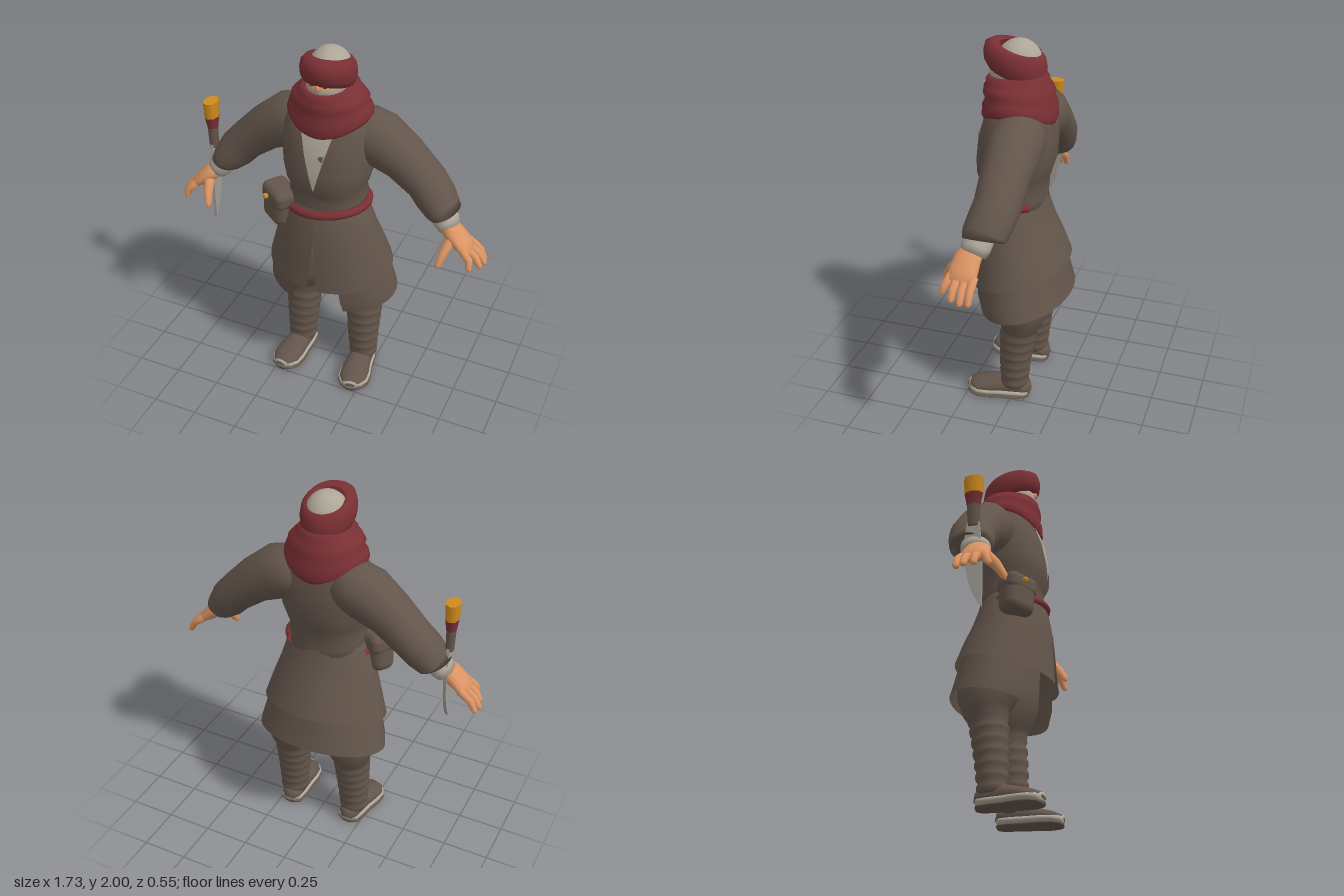
import * as THREE from 'three';
import { RoundedBoxGeometry } from 'three/addons/geometries/RoundedBoxGeometry.js';

const mat = (name, color, side = THREE.FrontSide) =>
  Object.assign(new THREE.MeshStandardMaterial({ color, side }), { name });

// Skins a list of equal-length rings, ordered along their axis.
function loft(rings, { closed = true, caps = false } = {}) {
  const n = rings[0].length, pos = [], idx = [];
  rings.forEach(r => r.forEach(p => pos.push(p.x, p.y, p.z)));
  const cols = closed ? n : n - 1;
  for (let i = 0; i < rings.length - 1; i++)
    for (let j = 0; j < cols; j++) {
      const a = i * n + j, b = i * n + (j + 1) % n;
      idx.push(a, b, b + n, a, b + n, a + n);
    }
  if (caps) [0, rings.length - 1].forEach((r, end) => {
    const c = new THREE.Vector3();
    rings[r].forEach(p => c.addScaledVector(p, 1 / n));
    const k = pos.length / 3;
    pos.push(c.x, c.y, c.z);
    for (let j = 0; j < n; j++) {
      const a = r * n + j, b = r * n + (j + 1) % n;
      end ? idx.push(k, a, b) : idx.push(k, b, a);
    }
  });
  const g = new THREE.BufferGeometry();
  g.setAttribute('position', new THREE.Float32BufferAttribute(pos, 3));
  g.setIndex(idx);
  g.computeVertexNormals();
  return g;
}

const pw = (v, e) => Math.sign(v) * Math.abs(v) ** (2 / e);

// Horizontal ring: height, half width, front z, back z, tilt along z, front gap angle, droop.
function ring([y, rx, zf, zb, tilt = 0, gap = 0, droop = 0], n, e, closed) {
  return Array.from({ length: n }, (_, i) => {
    const a = gap + (2 * Math.PI - 2 * gap) * i / (closed ? n : n - 1);
    const z = (zf + zb) / 2 + (zf - zb) / 2 * pw(Math.cos(a), e);
    return new THREE.Vector3(rx * pw(Math.sin(a), e), y + tilt * z - droop * Math.cos(a) ** 2, z);
  });
}
const garment = (rows, { e = 2, closed = true, n = 40, caps = false } = {}) =>
  loft(rows.map(r => ring(r, n, e, closed)), { closed, caps });

// Tube along points [x, y, z, radius along ref, other radius]; s mirrors x.
function limb(pts, s = 1, ref = new THREE.Vector3(0, 0, 1), n = 18) {
  const c = pts.map(p => new THREE.Vector3(p[0] * s, p[1], p[2]));
  return loft(pts.map((p, i) => {
    const d = c[Math.min(i + 1, c.length - 1)].clone().sub(c[Math.max(i - 1, 0)]).normalize();
    const u = ref.clone().addScaledVector(d, -ref.dot(d)).normalize();
    const v = d.clone().cross(u);
    return Array.from({ length: n }, (_, j) => {
      const a = 2 * Math.PI * j / n;
      return c[i].clone().addScaledVector(u, p[3] * Math.cos(a)).addScaledVector(v, p[4] * Math.sin(a));
    });
  }), { caps: true });
}

const TORSO = [
  [1.10, .2, .2, -.13], [1.17, .195, .205, -.125], [1.21, .207, .203, -.128], [1.25, .197, .207, -.13],
  [1.3, .215, .235, -.145], [1.38, .235, .235, -.17], [1.5, .24, .22, -.175], [1.6, .235, .19, -.165],
  [1.68, .2, .15, -.14], [1.73, .12, .11, -.11]];
const TE = 2.3;

// Front surface of the jacket at x, y.
function chestZ(x, y) {
  const i = TORSO.findIndex(r => r[0] >= y), a = TORSO[i - 1], b = TORSO[i];
  const t = (y - a[0]) / (b[0] - a[0]);
  const [, rx, zf, zb] = a.map((v, k) => v + (b[k] - v) * t);
  return (zf + zb) / 2 + (zf - zb) / 2 * (1 - Math.abs(x / rx) ** TE) ** (1 / TE);
}
// Thin cloth patch lying on the chest; rows are [y, x left, x right].
const chestPatch = (rows, lift) => loft(rows.map(([y, x0, x1]) =>
  Array.from({ length: 9 }, (_, j) => {
    const x = x0 + (x1 - x0) * j / 8;
    return new THREE.Vector3(x, y, chestZ(x, y) + lift);
  })), { closed: false });

export function createModel() {
  const brown = mat('brown cloth', 0x63554b, THREE.DoubleSide);
  const red = mat('red cloth', 0x7a3034, THREE.DoubleSide);
  const pale = mat('pale linen', 0xada698, THREE.DoubleSide);
  const skin = mat('skin', 0xdb9463);
  const gold = mat('gold', 0xcf8a1c);
  const steel = mat('steel', 0x9f9c95);
  const dark = mat('dark eyes', 0x3b332e);

  const model = new THREE.Group();
  model.name = 'wanderer';
  const add = (name, geo, material, x = 0, y = 0, z = 0) => {
    const m = new THREE.Mesh(geo, material);
    m.name = name;
    m.position.set(x, y, z);
    model.add(m);
    return m;
  };

  // Jacket, shirt opening and skirts
  add('jacket', garment(TORSO, { e: TE, caps: true }), brown);
  const vRows = [];
  for (let i = 0; i <= 8; i++) vRows.push([1.3 + i * .04, -.002 - i * .0107, .002 + i * .0107]);
  add('shirt', chestPatch(vRows, .005), pale);
  add('shirtStain', chestPatch([[1.475, .04, .046], [1.49, .022, .048], [1.505, .03, .052]], .008), brown);
  add('upperSkirt', garment([
    [.745, .345, .275, -.255, -.23, .09], [.88, .305, .265, -.215, -.15, .045],
    [1.0, .265, .255, -.17, -.08, 0], [1.1, .235, .235, -.14], [1.165, .2, .21, -.125]],
    { closed: false, n: 49 }), brown);
  add('lowerSkirt', garment([
    [.56, .365, .215, -.275, -.19, .42], [.64, .35, .235, -.255, -.2, .41], [.8, .31, .24, -.22, -.2, .4]],
    { closed: false, n: 45 }), brown);

  // Belt, wrapped around the front and sides
  const beltPts = [];
  for (let a = -1.7; a <= 2.4; a += .2)
    beltPts.push(new THREE.Vector3(.213 * Math.sin(a), 1.14 + .027 * Math.sin(a), .043 + .178 * Math.cos(a)));
  add('belt', new THREE.TubeGeometry(new THREE.CatmullRomCurve3(beltPts), 50, .023, 8), red);

  // Pouch with flap and button
  const pouch = add('pouch', new RoundedBoxGeometry(.18, .21, .13, 4, .05), brown, -.245, 1.095, .13);
  pouch.rotation.set(0, -.6, -.08);
  const flap = add('pouchFlap', new RoundedBoxGeometry(.19, .11, .145, 4, .04), brown, -.237, 1.155, .13);
  flap.rotation.copy(pouch.rotation);
  add('pouchButton', new THREE.SphereGeometry(.016, 12, 8), gold, -.295, 1.16, .19);

  // Head, face and wraps
  add('skull', new THREE.SphereGeometry(1, 28, 20), pale, 0, 1.865, .02).scale.set(.115, .135, .122);
  add('faceCloth', new THREE.SphereGeometry(1, 28, 20), pale, 0, 1.83, .06).scale.set(.1, .09, .115);
  add('eyeStrip', new THREE.SphereGeometry(1.03, 16, 6, Math.PI / 2 - .7, 1.4, 1.08, .36),
    skin, 0, 1.83, .06).scale.set(.1, .09, .115);
  add('nose', new THREE.SphereGeometry(1, 10, 8), skin, 0, 1.85, .174).scale.set(.011, .022, .014);
  for (const s of [-1, 1])
    add('eye', new THREE.SphereGeometry(1, 10, 8), dark, s * .032, 1.856, .163).scale.set(.014, .007, .008);
  add('headWrap', garment([
    [1.8, .1, .15, -.09, .27], [1.815, .122, .18, -.108, .27], [1.845, .134, .2, -.118, .27],
    [1.885, .137, .203, -.12, .27], [1.925, .13, .193, -.113, .27], [1.95, .11, .16, -.095, .27],
    [1.945, .085, .12, -.075, .27]]), red);
  add('scarf', garment([
    [1.67, .18, .16, -.13, 0, 0, .06], [1.65, .212, .195, -.165, 0, 0, .075],
    [1.675, .222, .21, -.177, 0, 0, .07], [1.71, .21, .208, -.175, 0, 0, .05],
    [1.73, .187, .193, -.16, 0, 0, .035], [1.75, .197, .203, -.163, 0, 0, .025],
    [1.775, .175, .2, -.152, 0, 0, .015], [1.785, .155, .188, -.135, -.05],
    [1.805, .15, .192, -.13, -.07], [1.83, .122, .175, -.115, -.09], [1.815, .095, .14, -.09, -.09]]), red);

  const up = new THREE.Vector3(0, 1, 0);
  for (const s of [-1, 1]) {
    const side = s > 0 ? 'left' : 'right';

    // Sleeve and cuff
    add(side + 'Sleeve', limb([
      [.08, 1.57, -.03, .12, .11], [.17, 1.55, -.03, .14, .135], [.25, 1.52, -.03, .142, .146],
      [.38, 1.44, -.032, .124, .122], [.5, 1.335, -.032, .118, .106], [.56, 1.27, -.015, .116, .104],
      [.605, 1.22, 0, .112, .088], [.62, 1.2, 0, .105, .08], [.61, 1.21, 0, .085, .06]], s, undefined, 24), brown);
    add(side + 'Cuff', limb([
      [.58, 1.25, .015, .078, .068], [.64, 1.17, .03, .074, .066], [.662, 1.142, .038, .066, .056]], s), pale);

    // Hand with four fingers and a thumb
    add(side + 'Palm', limb([
      [.645, 1.16, .04, .055, .045], [.69, 1.128, .055, .068, .047], [.745, 1.08, .06, .075, .036],
      [.78, 1.05, .062, .068, .025]], s), skin);
    [[0, .85, .966, 0], [.04, .86, .968, .038], [.08, .848, .975, .085], [.115, .81, .985, .145]]
      .forEach(([z, tx, ty, tz]) => add(side + 'Finger', limb([
        [.755, 1.07, z, .022, .022], [(.765 + tx) / 2 + .01, (1.06 + ty) / 2 + .012, (z + tz) / 2, .021, .02],
        [tx - .008, ty + .012, tz, .017, .016], [tx, ty, tz, .009, .009]], s, undefined, 10), skin));
    add(side + 'Thumb', limb([
      [.69, 1.12, .08, .035, .03], [.668, 1.055, .145, .026, .024], [.655, 1.0, .178, .019, .019],
      [.652, .982, .184, .01, .01]], s, undefined, 10), skin);

    // Trouser leg with ridged wraps below the knee
    const leg = [];
    for (let i = 0; i <= 20; i++) {
      const t = i / 20, bump = i % 3 === 0 ? -.007 : .003;
      leg.push([.192 - .01 * t, .07 + t * .4, -.01 - .028 * t * t,
        .073 + .028 * t + bump, .074 + .03 * t + bump]);
    }
    leg.push([.182, .5, -.045, .12, .12], [.178, .56, -.05, .145, .148], [.165, .65, -.035, .168, .155],
      [.14, .8, -.02, .17, .135], [.11, .95, .01, .14, .1]);
    add(side + 'Leg', limb(leg, s, undefined, 24), brown);

    // Shoe with a pale rim and a dark tread
    const foot = [[.185, -.09, .35, .4], [.185, -.075, .8, .72], [.188, -.02, 1.1, .85], [.195, .06, 1.05, .92],
      [.203, .13, .85, 1.05], [.21, .19, .68, 1.03], [.215, .23, .5, .75], [.218, .248, .25, .35]];
    const layer = (y, h, w, rise) => limb(foot.map(([x, z, k, r]) =>
      [x, y + rise * k, z, h * (rise ? k : 1), w * r]), s, up, 20);
    add(side + 'Shoe', layer(.02, .055, .074, .04), brown);
    add(side + 'ShoeRim', layer(.037, .026, .084, 0), pale);
    add(side + 'ShoeTread', layer(.012, .012, .086, 0), brown);
  }

  // Knife beside the right hand
  const kx = -.677, kz = .03;
  const grip = (name, r0, r1, y0, y1, m) => {
    add(name, new THREE.CylinderGeometry(r1, r0, y1 - y0, 8), m, kx, (y0 + y1) / 2, kz).scale.z = 1.35;
  };
  grip('knifeHandle', .022, .026, 1.28, 1.41, brown);
  grip('knifeBinding', .026, .036, 1.4, 1.47, red);
  grip('knifePommel', .036, .039, 1.465, 1.555, gold);
  const outline = new THREE.Shape();
  outline.moveTo(-.03, 1.3);
  outline.lineTo(-.045, 1.2);
  outline.quadraticCurveTo(-.04, .93, .045, .84);
  outline.quadraticCurveTo(.05, 1.05, .04, 1.2);
  outline.lineTo(.03, 1.3);
  const blade = new THREE.ExtrudeGeometry(outline, { depth: .016, bevelEnabled: false, curveSegments: 8 });
  blade.translate(0, 0, -.008).rotateY(-Math.PI / 2);
  add('knifeBlade', blade, steel, kx, 0, kz);

  return model;
}
